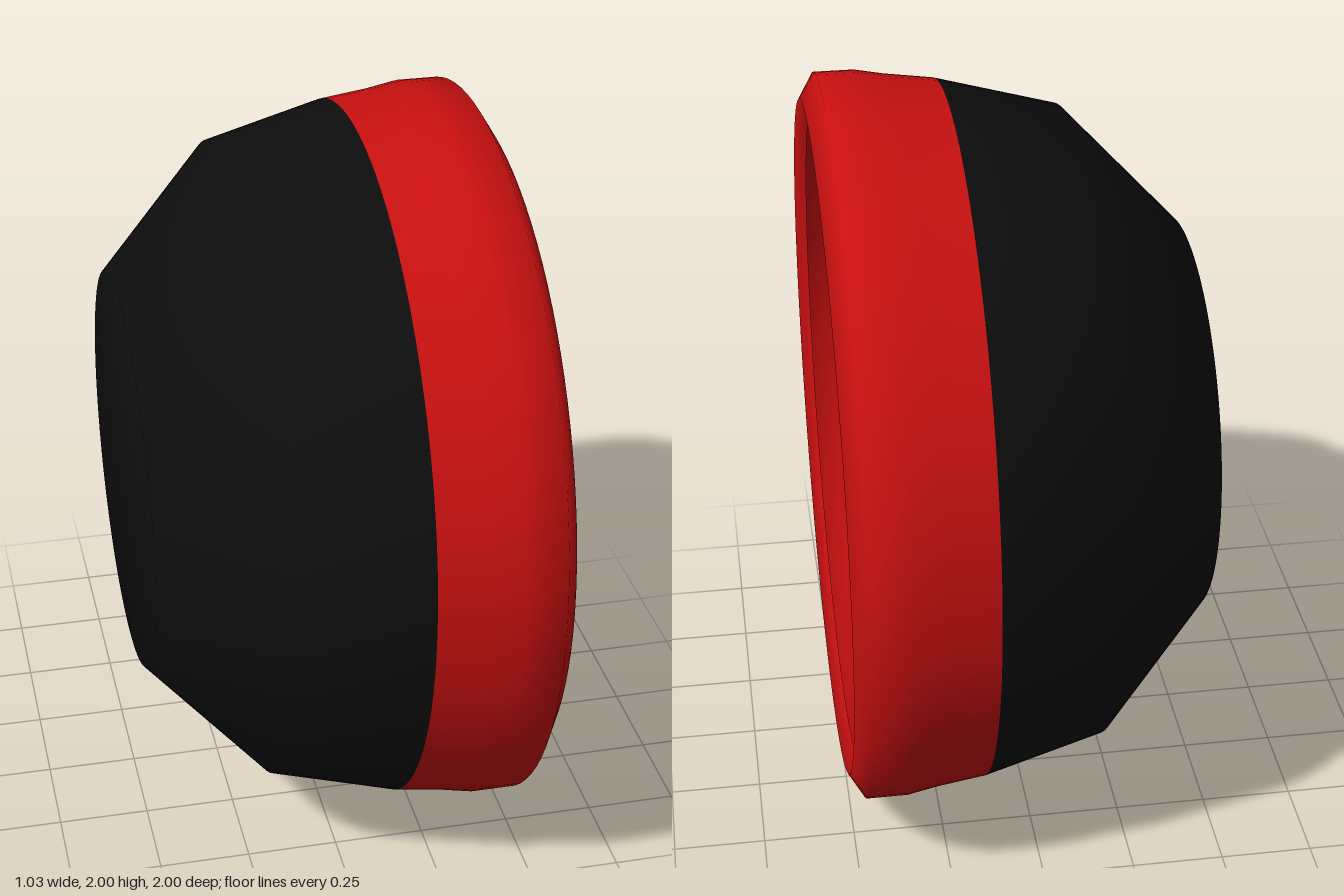
import * as THREE from 'three';

const black = new THREE.MeshStandardMaterial({ color: 0x0d0d0d, side: THREE.DoubleSide });
black.name = 'black';
const red = new THREE.MeshStandardMaterial({ color: 0xc81010, side: THREE.DoubleSide });
red.name = 'red';

// Surface of revolution from [radius, position along the axis] points
function turned(name, profile, material) {
  const points = profile.map(([r, x]) => new THREE.Vector2(r, x));
  const mesh = new THREE.Mesh(new THREE.LatheGeometry(points, 96), material);
  mesh.name = name;
  return mesh;
}

export function createModel() {
  const model = new THREE.Group();
  model.name = 'bowl';

  // Thin shell lying on its side, open towards +x
  const shell = new THREE.Group();
  shell.name = 'shell';
  shell.rotation.z = -Math.PI / 2;
  shell.position.y = 1;
  model.add(shell);

  // Black closed end: shallow cone, steep shoulder, gently flared wall
  shell.add(turned('bowlBody', [
    [0, -0.515], [0.55, -0.495], [0.88, -0.185], [0.967, 0.145],
  ], black));

  // Red band ending in a lip that curls inwards
  shell.add(turned('rimBand', [
    [0.967, 0.145], [0.985, 0.28], [1, 0.36], [1, 0.47], [0.93, 0.512], [0.89, 0.48],
  ], red));

  return model;
}
